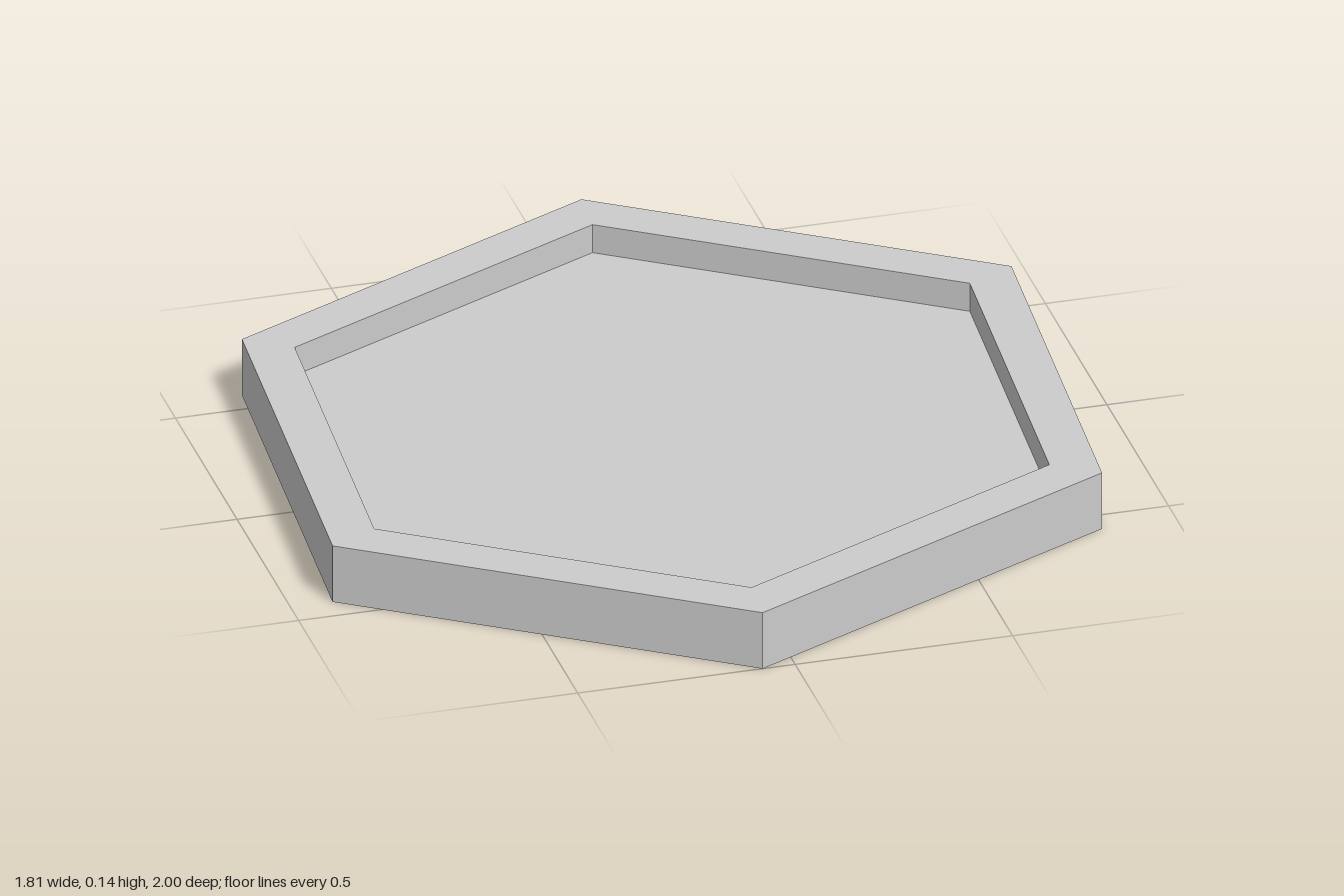
import * as THREE from 'three';

export function createModel() {
  const group = new THREE.Group();
  group.name = 'hexagonalTray';

  const outer = 1.003, inner = 0.88; // corner radii of the rim
  const height = 0.14, floor = 0.07;
  const turn = -THREE.MathUtils.degToRad(4.28);

  // Cross-section from the underside, up the wall, over the rim and into the recess
  const profile = [
    [0, 0], [outer, 0], [outer, height], [inner, height], [inner, floor], [0, floor],
  ].map(([r, y]) => new THREE.Vector2(r, y));

  // Six segments make the hexagon
  const tray = new THREE.Mesh(
    new THREE.LatheGeometry(profile, 6, turn),
    new THREE.MeshStandardMaterial({ color: 0xcccccc, flatShading: true }),
  );
  tray.name = 'tray';
  group.add(tray);
  return group;
}
